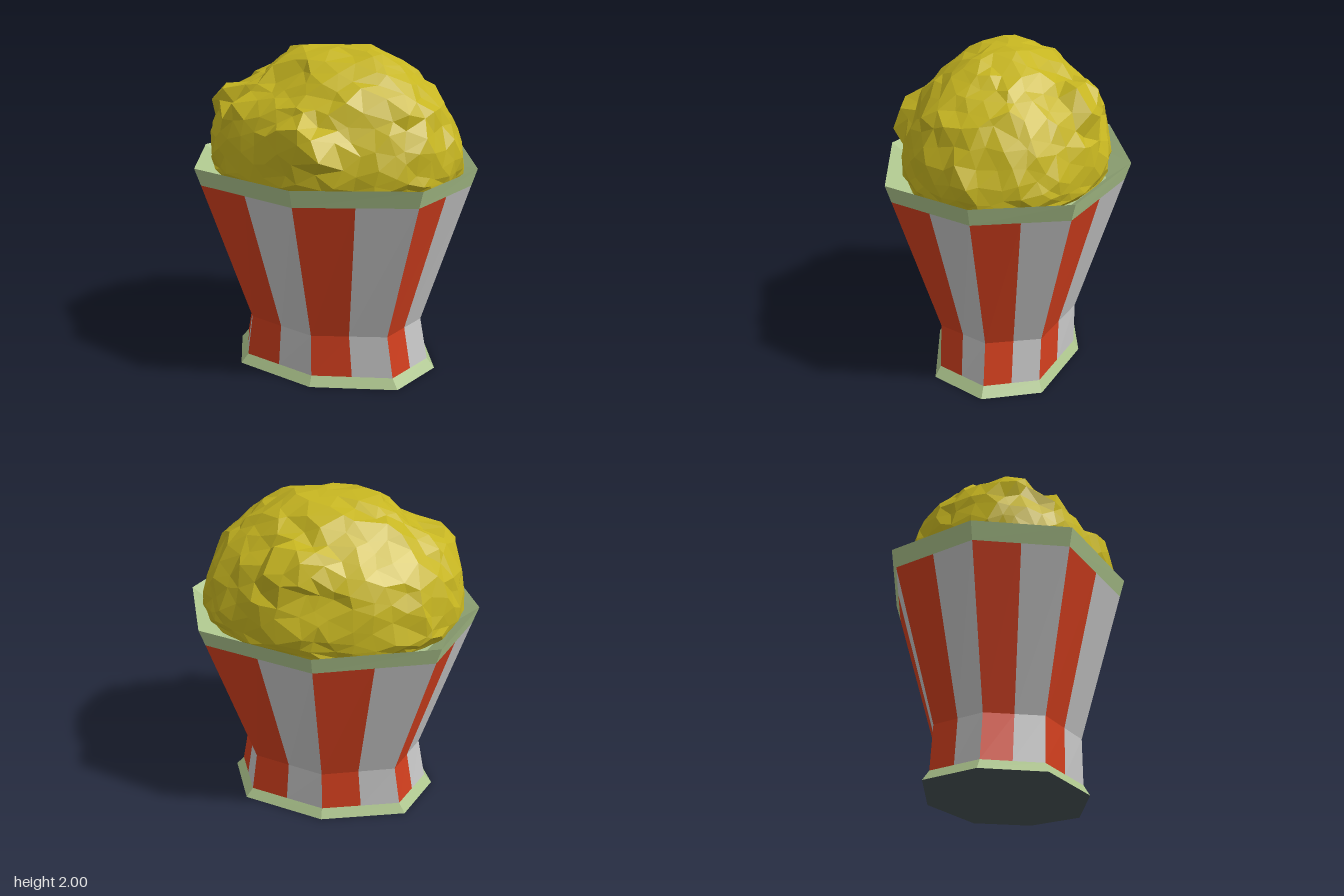
import * as THREE from 'three';
import { mergeVertices } from 'three/addons/utils/BufferGeometryUtils.js';

const mat = (name, color, extra = {}) => {
  const m = new THREE.MeshStandardMaterial({ color, ...extra });
  m.name = name;
  return m;
};

// Corner i (0-7) of the stretched octagon, counted from the front towards +x
function corner(i, [y, rx, rz]) {
  const a = (i % 8) * Math.PI / 4, odd = i % 2;
  return new THREE.Vector3(
    odd ? Math.sign(Math.sin(a)) * rx * 0.775 : Math.sin(a) * rx,
    y,
    odd ? Math.sign(Math.cos(a)) * rz * 0.71 : Math.cos(a) * rz);
}

// Flat panels between neighbouring rings; from/to pick a slice of each side
function panels(rings, from = 0, to = 1) {
  const pts = [];
  for (let r = 0; r + 1 < rings.length; r++) {
    for (let i = 0; i < 8; i++) {
      const at = (ring, t) => corner(i, ring).lerp(corner(i + 1, ring), t);
      const a = at(rings[r], from), b = at(rings[r], to);
      const c = at(rings[r + 1], to), d = at(rings[r + 1], from);
      pts.push(a, b, c, a, c, d);
    }
  }
  return flat(pts);
}

// Octagonal plate facing up or down
function plate(ring, up) {
  const pts = [], mid = new THREE.Vector3(0, ring[0], 0);
  for (let i = 0; i < 8; i++) {
    const a = corner(i, ring), b = corner(i + 1, ring);
    pts.push(mid, up ? a : b, up ? b : a);
  }
  return flat(pts);
}

function flat(pts) {
  const g = new THREE.BufferGeometry().setFromPoints(pts);
  g.computeVertexNormals();
  return g;
}

// Lumpy heap: a stretched ball with seeded jitter, raised kernels and dents
function heapGeometry() {
  let seed = 11;
  const rand = () => (seed = (seed * 16807) % 2147483647) / 2147483647;
  const ico = new THREE.IcosahedronGeometry(1, 7);
  ico.deleteAttribute('normal');
  ico.deleteAttribute('uv');
  const g = mergeVertices(ico, 1e-4);
  // direction x, y, z, reach, push
  const bumps = [
    [0.03, 0.31, 0.95, 0.21, 0.13], [-0.8, 0.55, 0.3, 0.2, 0.08],
    [-0.62, 0.45, 0.64, 0.14, 0.05], [-0.86, 0.4, 0, 0.25, 0.02],
    [0.2, 0.64, -0.82, 0.26, 0.1], [0.15, 0.8, -0.6, 0.14, -0.05],
    [0.45, 0.84, 0.25, 0.25, 0.02], [-0.15, 0.99, 0.05, 0.25, 0.025],
    [0.25, 0.97, 0, 0.25, 0.025], [0.72, 0.55, 0.42, 0.2, 0.03],
    [-0.58, 0.8, 0.15, 0.26, -0.06], [0.35, 0.45, 0.82, 0.22, -0.05],
    [-0.3, 0.72, 0.62, 0.28, -0.06], [0.1, 0.75, 0.66, 0.2, -0.03],
    [0, 0.35, -0.95, 0.25, -0.04], [-0.25, 0.75, -0.62, 0.3, -0.04],
    [0.95, 0.3, -0.05, 0.16, -0.04], [0.45, 0.72, -0.5, 0.22, -0.03],
  ];
  const p = g.attributes.position, v = new THREE.Vector3(), c = new THREE.Vector3();
  for (let i = 0; i < p.count; i++) {
    v.fromBufferAttribute(p, i);
    let r = 0.995;
    for (const [x, y, z, reach, push] of bumps) {
      const d = v.distanceTo(c.set(x, y, z).normalize()) / reach;
      if (d < 1) r += push * Math.min(1, 3 * (1 - d));
    }
    r += (rand() - 0.5) * 0.045;
    v.x += (rand() - 0.5) * 0.09;
    v.y += (rand() - 0.5) * 0.09;
    v.z += (rand() - 0.5) * 0.09;
    v.normalize().multiplyScalar(r);
    // Flat crown at y = 2, shallow belly inside the tub
    const y = v.y > 0 ? Math.min(2, 1.33 + v.y * 0.67) : 1.33 + v.y * 0.3;
    p.setXYZ(i, v.x * 0.78, y, v.z * 0.617);
  }
  const out = g.toNonIndexed();
  out.computeVertexNormals();
  return out;
}

export function createModel() {
  const red = mat('red stripe', 0xd23f1e);
  const white = mat('white stripe', 0xc6c6c6);
  const green = mat('pale green trim', 0xacc48c);
  const yellow = mat('popcorn yellow', 0xc6b520, { flatShading: true });
  const dark = mat('dark underside', 0x485356);

  const group = new THREE.Group();
  group.name = 'popcornTub';
  const add = (name, geometry, material) => {
    const m = new THREE.Mesh(geometry, material);
    m.name = name;
    group.add(m);
  };

  // Rings as [height, half width, half depth]
  const base = [0, 0.665, 0.475], foot = [0.06, 0.615, 0.44], waist = [0.33, 0.565, 0.44];
  const shoulder = [1.225, 0.837, 0.71], lip = [1.33, 0.87, 0.742], inner = [1.22, 0.73, 0.6];

  // Striped wall: each side is half red, half white
  add('redStripes', panels([foot, waist, shoulder], 0, 0.5), red);
  add('whiteStripes', panels([foot, waist, shoulder], 0.5, 1), white);

  // Trim, lining and underside
  add('footTrim', panels([base, foot]), green);
  add('rimTrim', panels([shoulder, lip]), green);
  add('innerLining', panels([lip, inner]), green);
  add('innerFloor', plate(inner, true), green);
  add('underside', plate(base, false), dark);

  // Popcorn heap
  add('popcorn', heapGeometry(), yellow);
  return group;
}
